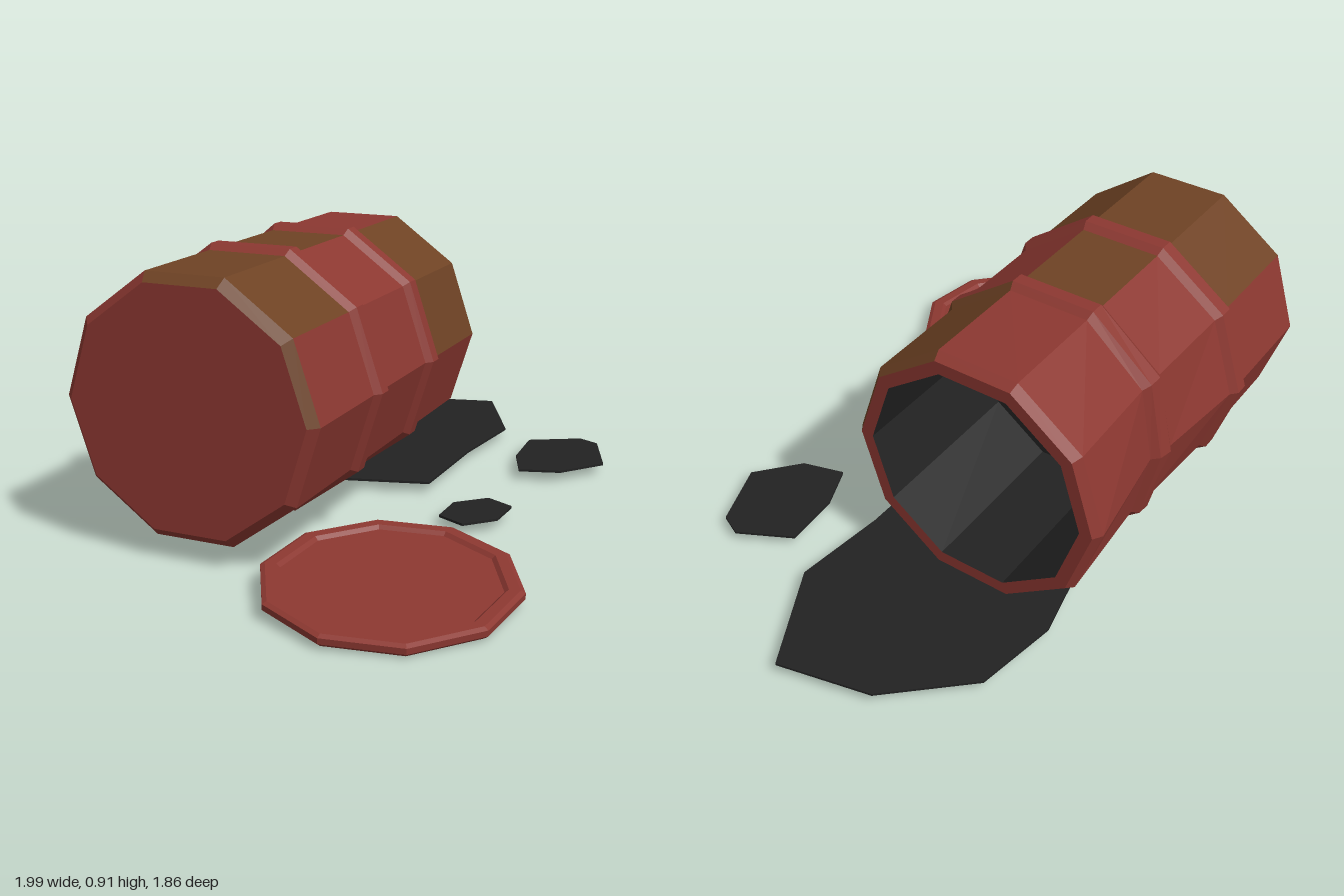
import * as THREE from 'three';

const SIDES = 10;
const STEP = (Math.PI * 2) / SIDES;

const flat = (name, color, opts = {}) => {
  const m = new THREE.MeshStandardMaterial({ color, flatShading: true, ...opts });
  m.name = name;
  return m;
};

// Turned low-poly solid around local x. profile: [distance along axis, radius].
// paint(band, side) picks the material key of each facet; dent(s, angle) reduces the radius.
function turned(name, profile, materials, paint, dent = () => 0) {
  const group = new THREE.Group();
  group.name = name;
  const buckets = {};
  const point = ([s, r], k) => {
    const a = k * STEP;
    const radius = r === 0 ? 0 : r - dent(s, a, r);
    return [s, radius * Math.sin(a), radius * Math.cos(a)];
  };
  for (let i = 0; i < profile.length - 1; i++) {
    const p = profile[i], q = profile[i + 1];
    for (let k = 0; k < SIDES; k++) {
      const out = (buckets[paint(i, k)] ??= []);
      const a = point(p, k), b = point(q, k), c = point(q, k + 1), d = point(p, k + 1);
      if (q[1] > 0) out.push(...a, ...b, ...c);
      if (p[1] > 0) out.push(...a, ...(q[1] > 0 ? c : b), ...d);
    }
  }
  for (const [key, positions] of Object.entries(buckets)) {
    const g = new THREE.BufferGeometry();
    g.setAttribute('position', new THREE.Float32BufferAttribute(positions, 3));
    g.computeVertexNormals();
    const mesh = new THREE.Mesh(g, materials[key]);
    mesh.name = name + key[0].toUpperCase() + key.slice(1);
    group.add(mesh);
  }
  return group;
}

// Thin flat puddle from an outline of [x, z] points
function puddle(name, outline, material) {
  const shape = new THREE.Shape(outline.map(([x, z]) => new THREE.Vector2(x, -z)));
  const g = new THREE.ExtrudeGeometry(shape, { depth: 0.008, bevelEnabled: false });
  g.rotateX(-Math.PI / 2);
  const mesh = new THREE.Mesh(g, material);
  mesh.name = name;
  mesh.position.y = 0.036;
  return mesh;
}

export function createModel() {
  const model = new THREE.Group();
  model.name = 'spilledBarrel';
  const materials = {
    paint: flat('red paint', 0x8c3831),
    rust: flat('brown rust', 0x6e4224),
    oil: flat('black oil', 0x222222),
  };

  // Barrel lying on its side: closed end, two hoops, open rim and dark inside
  const L = 1.287, R = 0.43, HOOP = 0.45;
  const hoop = (s) => [[s - 0.045, R], [s - 0.022, HOOP], [s + 0.022, HOOP], [s + 0.045, R]];
  const barrelProfile = [
    [0, 0], [0, 0.4], [0.03, R],
    ...hoop(0.437), ...hoop(0.853),
    [L - 0.03, R], [L, 0.41], [L, 0.367], [0.71, 0.365], [0.71, 0],
  ];
  // Rusty sides of each band; side 0 starts at the front, counting upwards
  const rust = {
    1: [0, 1, 2], 2: [1, 2, 3], 6: [2], 9: [0, 1, 9], 10: [0, 1], 11: [0, 1],
  };
  const barrelPaint = (band, side) =>
    band >= 13 ? 'oil' : rust[band]?.includes(side) ? 'rust' : 'paint';
  // Dent in the back, near the second hoop
  const barrelDent = (s, a, r) => r < 0.38 ? 0 :
    0.055 * Math.exp(-(((s - 0.93) / 0.18) ** 2)) * Math.max(0, -Math.cos(a)) ** 4;

  const barrel = turned('barrel', barrelProfile, materials, barrelPaint, barrelDent);
  barrel.position.set(-0.835, 0.48, -0.03);
  barrel.rotation.y = 0.42;
  model.add(barrel);

  // Loose lid with a raised rim, tilted on the ground
  const lidProfile = [
    [-0.018, 0], [-0.018, 0.372], [-0.006, 0.386], [0.012, 0.386],
    [0.019, 0.372], [0.019, 0.338], [0.008, 0.326], [0.008, 0],
  ];
  const lidBody = turned('lid', lidProfile, materials, (band, side) =>
    (band === 1 || band === 2) && (side === 5 || side === 6) ? 'rust' : 'paint');
  lidBody.rotation.z = Math.PI / 2;
  const lid = new THREE.Group();
  lid.name = 'tiltedLid';
  lid.add(lidBody);
  lid.position.set(-0.543, 0.047, 0.543);
  lid.rotation.set(0.062, 0, 0.035);
  model.add(lid);

  // Spilled oil
  model.add(
    puddle('largePuddle', [
      [0.23, -0.82], [0.5, -0.89], [0.8, -0.765], [0.99, -0.52], [0.76, -0.23],
      [0.46, -0.135], [0.12, 0.01], [-0.15, -0.32], [-0.06, -0.61],
    ], materials.oil),
    puddle('mediumPuddle', [
      [0.445, 0.13], [0.55, 0.02], [0.72, -0.07], [0.875, 0.05],
      [0.875, 0.13], [0.715, 0.29], [0.54, 0.24],
    ], materials.oil),
    puddle('smallPuddle', [
      [0.045, 0.205], [0.16, 0.255], [0.16, 0.36],
      [0.045, 0.405], [-0.07, 0.36], [-0.07, 0.255],
    ], materials.oil),
  );
  return model;
}
